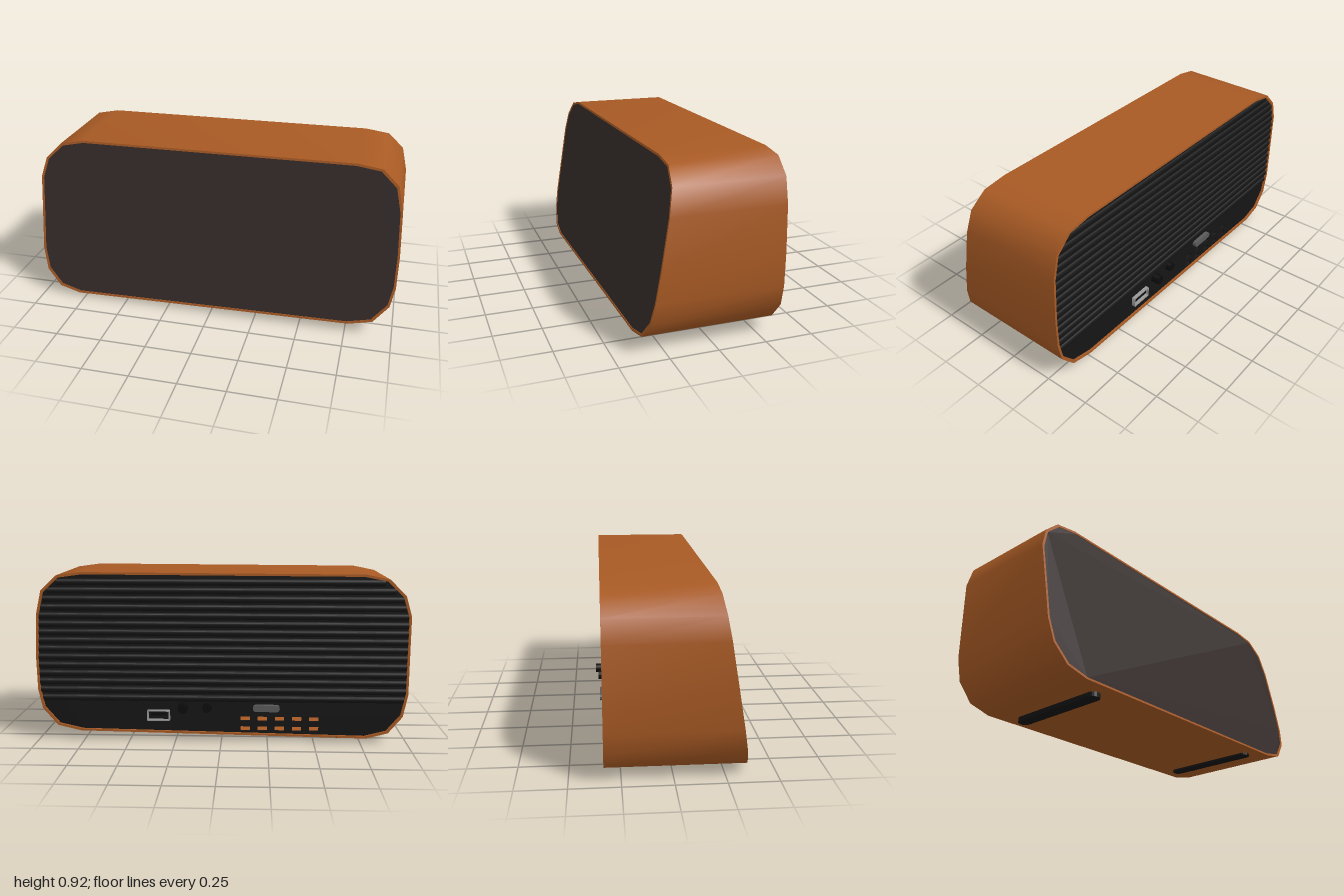
import * as THREE from 'three';
import { toCreasedNormals } from 'three/addons/utils/BufferGeometryUtils.js';

const BACK = -0.333;
const MID_Y = 0.468;
// Slanted front plane
const frontZ = (y) => 0.368 - 0.166 * y;

// Rounded outline of the cabinet, counter-clockwise
const OUTLINE = [
  [-0.783, 0.022], [0.767, 0.05], [0.895, 0.08], [0.975, 0.175], [0.997, 0.28],
  [1, 0.45], [0.99, 0.69], [0.96, 0.82], [0.875, 0.9], [0.745, 0.918],
  [-0.757, 0.91], [-0.88, 0.885], [-0.967, 0.8], [-1, 0.69], [-1, 0.267],
  [-0.976, 0.145], [-0.9, 0.053],
];

const mat = (color) => new THREE.MeshStandardMaterial({ color });
const inset = (d) => OUTLINE.map(([x, y]) => new THREE.Vector2(
  x * (1 - d), MID_Y + (y - MID_Y) * (1 - d / 0.45)));

// Extrude a shape between two depth rules z = f(y)
function slab(shape, back, front) {
  const g = new THREE.ExtrudeGeometry(shape, { depth: 1, bevelEnabled: false, curveSegments: 8 });
  const p = g.attributes.position;
  for (let i = 0; i < p.count; i++) {
    const y = p.getY(i);
    p.setZ(i, THREE.MathUtils.lerp(back(y), front(y), p.getZ(i)));
  }
  return toCreasedNormals(g, 0.75);
}

// Pill or rounded rectangle centred on (x, y)
function rounded(Type, x, y, w, h, r) {
  const s = new Type();
  const a = w / 2 - r, b = h / 2 - r;
  s.absarc(x + a, y + b, r, 0, Math.PI / 2);
  s.absarc(x - a, y + b, r, Math.PI / 2, Math.PI);
  s.absarc(x - a, y - b, r, Math.PI, Math.PI * 1.5);
  s.absarc(x + a, y - b, r, Math.PI * 1.5, Math.PI * 2);
  s.closePath();
  return s;
}

// Left and right limits of an outline at height y
function spanAt(points, y) {
  const xs = [];
  points.forEach((a, i) => {
    const b = points[(i + 1) % points.length];
    if ((a.y > y) !== (b.y > y)) xs.push(a.x + (b.x - a.x) * (y - a.y) / (b.y - a.y));
  });
  return [Math.min(...xs), Math.max(...xs)];
}

export function createModel() {
  const group = new THREE.Group();
  const orange = mat(0xa85a24), grilleMat = mat(0x352c2b), black = mat(0x151515);
  const dark = mat(0x0c0c0c), silver = mat(0x999999), grey = mat(0x5a5a5a);
  const add = (name, geometry, material, parent = group) => {
    const m = new THREE.Mesh(geometry, material);
    m.name = name;
    parent.add(m);
    return m;
  };

  // Cabinet: a hollow sleeve with a slanted front
  const sleeve = new THREE.Shape(inset(0));
  sleeve.holes.push(new THREE.Path(inset(0.012)));
  add('cabinet', slab(sleeve, () => BACK, frontZ), orange);

  // Front grille, just behind the rim
  const inner = inset(0.0115);
  add('frontGrille', slab(new THREE.Shape(inner),
    (y) => frontZ(y) - 0.03, (y) => frontZ(y) - 0.003), grilleMat);

  // Back panel with vent slots
  const panel = new THREE.Shape(inner);
  for (let row = 0; row < 2; row++)
    for (let col = 0; col < 5; col++)
      panel.holes.push(rounded(THREE.Path, -0.13 - col * 0.093, 0.122 - row * 0.055, 0.052, 0.026, 0.004));
  add('backPanel', slab(panel, () => BACK + 0.012, () => BACK + 0.03), black);

  // Horizontal ribs across the back, clipped to the outline
  const ribs = new THREE.Group();
  ribs.name = 'backRibs';
  group.add(ribs);
  for (let y = 0.235; y < 0.89; y += 0.045) {
    const [x0, x1] = spanAt(inner, y + 0.012);
    const [x2, x3] = spanAt(inner, y - 0.012);
    const left = Math.max(x0, x2), right = Math.min(x1, x3);
    const g = new THREE.CylinderGeometry(0.018, 0.018, right - left, 10);
    g.rotateZ(Math.PI / 2).scale(1, 1, 0.6);
    add('rib', g, black, ribs).position.set((left + right) / 2, y, BACK + 0.013);
  }

  // Controls and sockets on the back
  const knob = (name, x, y, r, out) => {
    const g = new THREE.CylinderGeometry(r, r * 0.92, out + 0.02, 24).rotateX(Math.PI / 2);
    add(name, g, dark).position.set(x, y, BACK + 0.02 - (out + 0.02) / 2);
  };
  knob('volumeKnob', 0.207, 0.185, 0.028, 0.032);
  knob('audioSocket', 0.077, 0.185, 0.026, 0.016);

  const frame = rounded(THREE.Shape, 0.342, 0.14, 0.125, 0.06, 0.006);
  frame.holes.push(rounded(THREE.Path, 0.342, 0.14, 0.11, 0.045, 0.004));
  add('portFrame', slab(frame, () => BACK - 0.006, () => BACK + 0.02), silver);
  add('portTongue', new THREE.BoxGeometry(0.085, 0.014, 0.016), dark).position.set(0.342, 0.148, BACK + 0.005);

  add('powerSwitch', slab(rounded(THREE.Shape, -0.243, 0.185, 0.145, 0.036, 0.017),
    () => BACK - 0.01, () => BACK + 0.02), grey);

  // Rubber feet running front to back
  for (const [x, y, h] of [[-0.633, 0, 0.035], [0.645, 0.036, 0.025]]) {
    const g = new THREE.ExtrudeGeometry(rounded(THREE.Shape, 0, 0, 0.066, 0.552, 0.032),
      { depth: h, bevelEnabled: false, curveSegments: 8 });
    g.rotateX(-Math.PI / 2);
    add('foot', toCreasedNormals(g, 0.75), black).position.set(x, y, 0.019);
  }
  return group;
}
